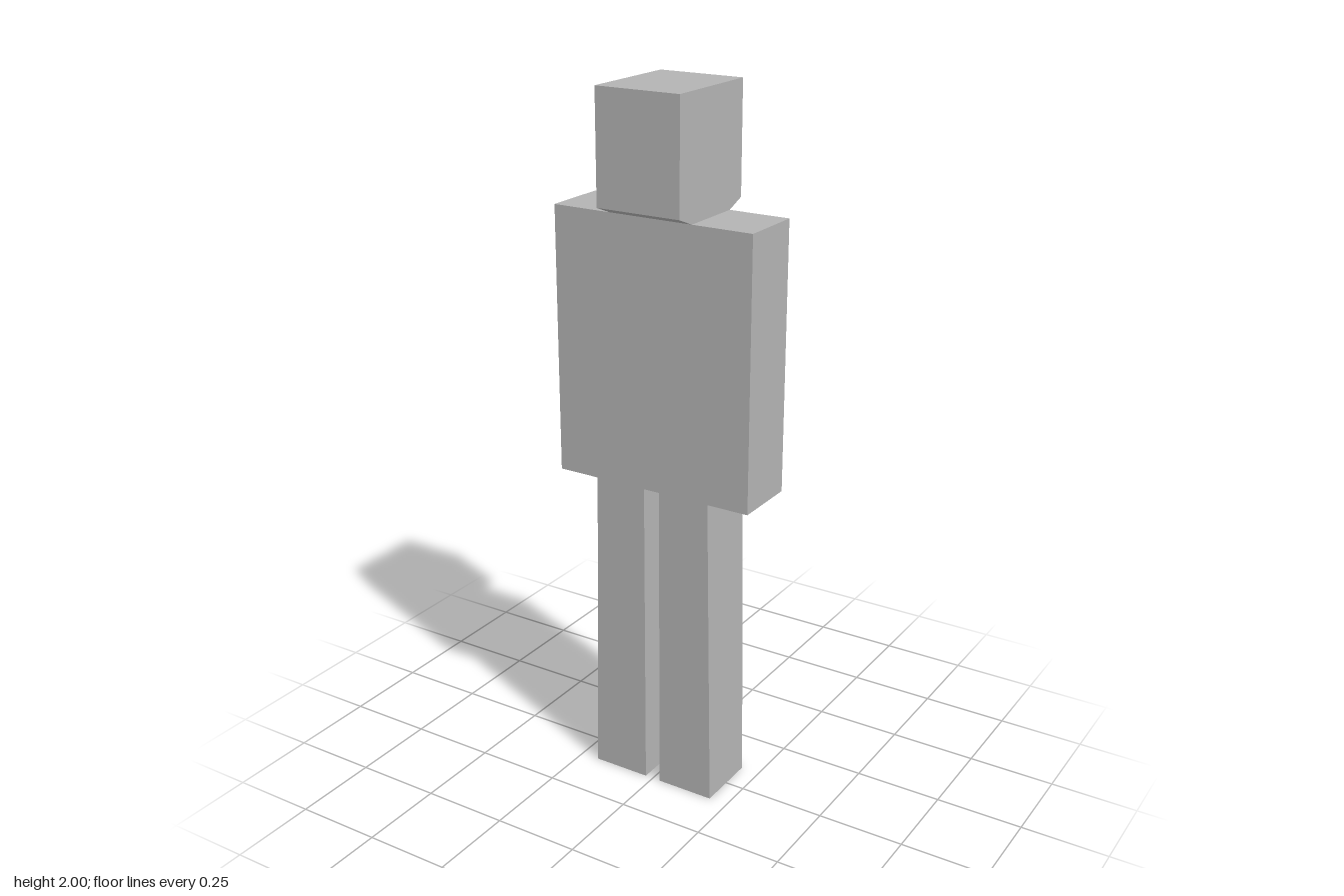
import * as THREE from 'three';

const grey = new THREE.MeshStandardMaterial({ color: 0xb3b3b3 });
grey.name = 'grey';

// Straight-sided slab: an outline extruded evenly about z = 0
function slab(name, points, depth) {
  const shape = new THREE.Shape(points.map(([x, y]) => new THREE.Vector2(x, y)));
  const geometry = new THREE.ExtrudeGeometry(shape, { depth, bevelEnabled: false });
  geometry.translate(0, 0, -depth / 2);
  const mesh = new THREE.Mesh(geometry, grey);
  mesh.name = name;
  return mesh;
}

export function createModel() {
  const model = new THREE.Group();
  model.name = 'blockFigure';
  const depth = 0.188, hipY = 0.917, shoulderY = 1.67;

  // Torso
  const torso = new THREE.Mesh(new THREE.BoxGeometry(0.598, shoulderY - hipY, depth), grey);
  torso.name = 'torso';
  torso.position.y = (hipY + shoulderY) / 2;
  model.add(torso);

  // Legs, flaring slightly outward to the foot
  for (const [name, side] of [['leftLeg', 1], ['rightLeg', -1]]) {
    const outline = [[0.024, 0], [0.194, 0], [0.177, hipY], [0.024, hipY]];
    model.add(slab(name, outline.map(([x, y]) => [x * side, y]), depth));
  }

  // Head: side profile with sloped chin and nape, extruded across x
  const head = slab('head', [
    [-depth / 2, shoulderY], [depth / 2, shoulderY], [0.152, 1.693],
    [0.152, 2], [-0.152, 2], [-0.152, 1.693],
  ], 0.248);
  head.rotation.y = -Math.PI / 2;
  model.add(head);

  return model;
}
